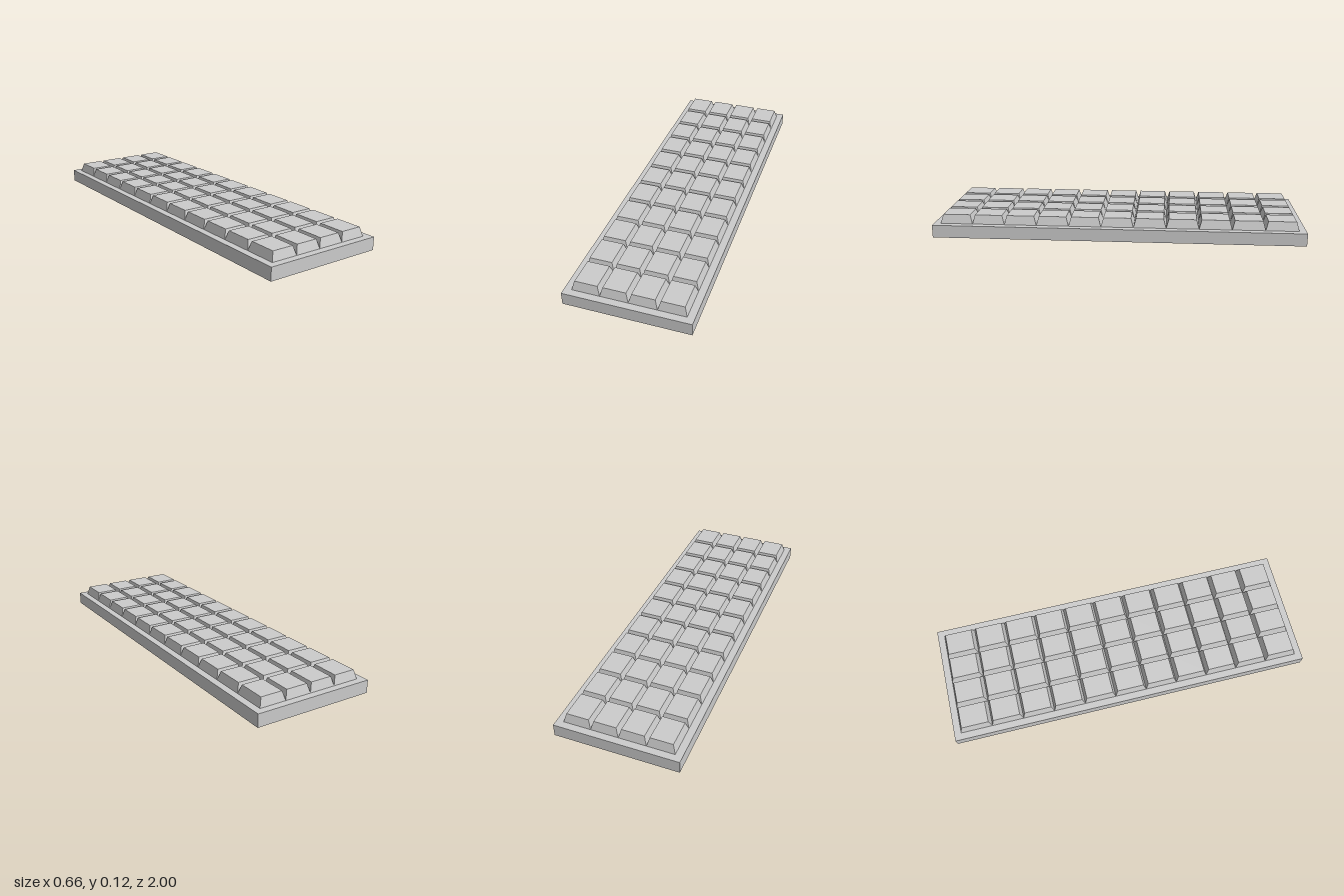
import * as THREE from 'three';

const COLS = 4, ROWS = 11;
const PITCH_X = 0.1455, PITCH_Z = 0.175;
const BASE_H = 0.069, BLOCK_H = 0.048, INSET = 0.0135;

// Box whose top face is drawn in by the same inset on all four sides
function taperedBlock(w, h, d, inset) {
  const geo = new THREE.BoxGeometry(w, h, d);
  const p = geo.attributes.position;
  for (let i = 0; i < p.count; i++) {
    if (p.getY(i) > 0) {
      p.setX(i, p.getX(i) - Math.sign(p.getX(i)) * inset);
      p.setZ(i, p.getZ(i) - Math.sign(p.getZ(i)) * inset);
    }
  }
  geo.translate(0, h / 2, 0);
  geo.computeVertexNormals();
  return geo;
}

export function createModel() {
  const model = new THREE.Group();
  model.name = 'segmentedBar';
  const material = new THREE.MeshStandardMaterial({ color: 0xcccccc, flatShading: true });

  // Flat slab underneath
  const slab = new THREE.Mesh(new THREE.BoxGeometry(0.657, BASE_H, 2), material);
  slab.name = 'baseSlab';
  slab.position.y = BASE_H / 2;
  model.add(slab);

  // Grid of tapered blocks meeting at their bases
  const blocks = new THREE.Group();
  blocks.name = 'blocks';
  const blockGeo = taperedBlock(PITCH_X, BLOCK_H, PITCH_Z, INSET);
  for (let r = 0; r < ROWS; r++) {
    for (let c = 0; c < COLS; c++) {
      const block = new THREE.Mesh(blockGeo, material);
      block.name = `blockRow${r + 1}Column${c + 1}`;
      block.position.set((c - (COLS - 1) / 2) * PITCH_X, BASE_H, (r - (ROWS - 1) / 2) * PITCH_Z);
      blocks.add(block);
    }
  }
  model.add(blocks);
  return model;
}
